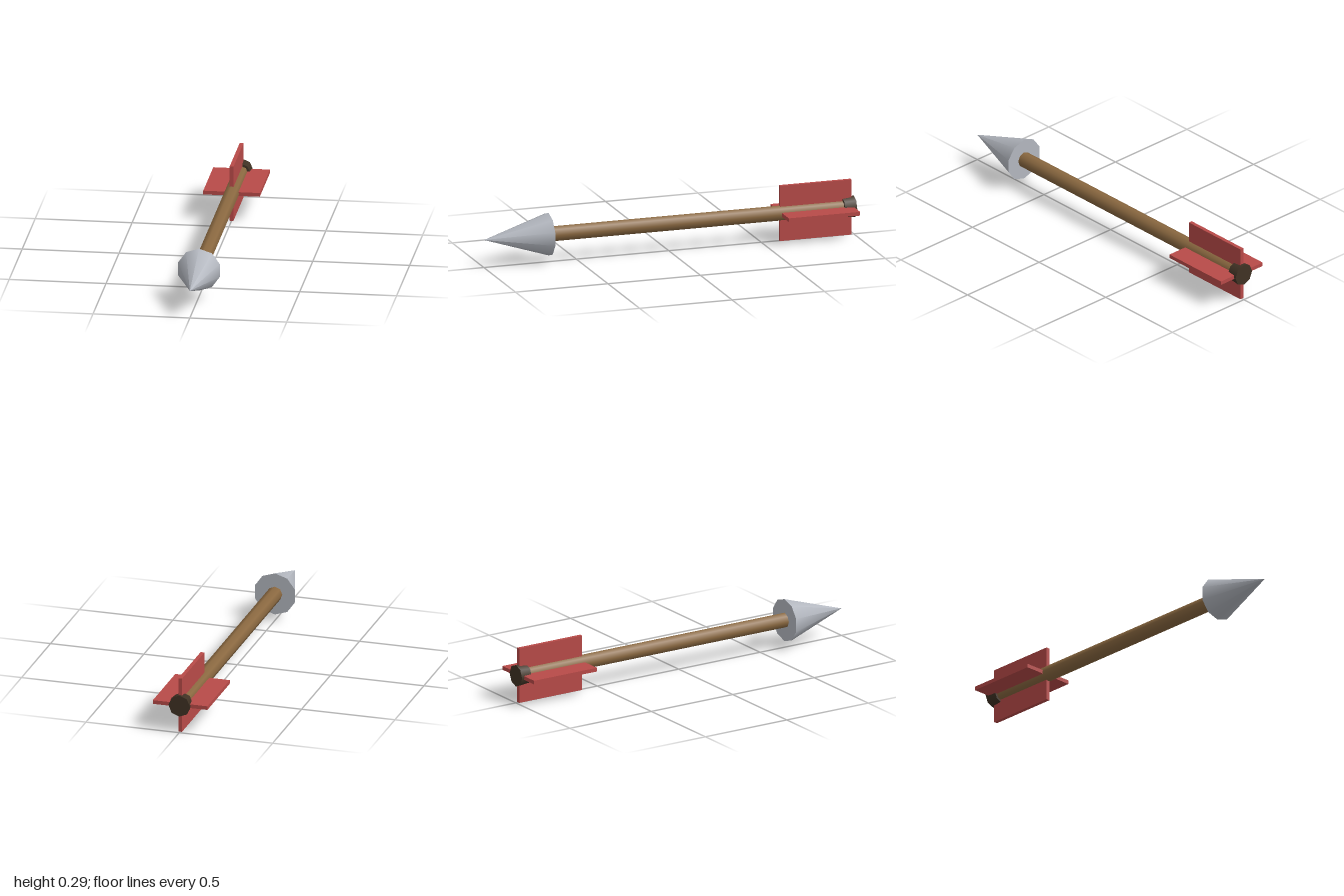
import * as THREE from 'three';

const AXIS_Y = 0.146; // height of the arrow's centre line

export function createModel() {
  const mat = (name, color) => {
    const m = new THREE.MeshStandardMaterial({ color });
    m.name = name;
    return m;
  };
  const wood = mat('wood', 0x8a6840);
  const steel = mat('steel', 0xb4b8c0);
  const feather = mat('red feather', 0xb84a48);
  const darkWood = mat('dark wood', 0x403224);

  const arrow = new THREE.Group();
  arrow.name = 'arrow';

  // Round part lying along z, from the back to the front
  const addRound = (name, material, rFront, rBack, zBack, zFront, sides) => {
    const geometry = new THREE.CylinderGeometry(rFront, rBack, zFront - zBack, sides);
    geometry.rotateX(Math.PI / 2);
    const mesh = new THREE.Mesh(geometry, material);
    mesh.name = name;
    mesh.position.set(0, AXIS_Y, (zFront + zBack) / 2);
    arrow.add(mesh);
  };

  addRound('shaft', wood, 0.04, 0.04, -0.96, 0.66, 8);
  addRound('arrowhead', steel, 0, 0.113, 0.65, 1, 10);
  addRound('nock', darkWood, 0.052, 0.058, -1, -0.937, 8);

  // Four fins around the tail
  const fletching = new THREE.Group();
  fletching.name = 'fletching';
  fletching.position.set(0, AXIS_Y, -0.792);
  const inner = 0.03, outer = 0.146;
  for (let i = 0; i < 4; i++) {
    const geometry = new THREE.BoxGeometry(outer - inner, 0.02, 0.386);
    geometry.translate((outer + inner) / 2, 0, 0);
    const fin = new THREE.Mesh(geometry, feather);
    fin.name = 'fin' + (i + 1);
    fin.rotation.z = (i * Math.PI) / 2;
    fletching.add(fin);
  }
  arrow.add(fletching);

  return arrow;
}
